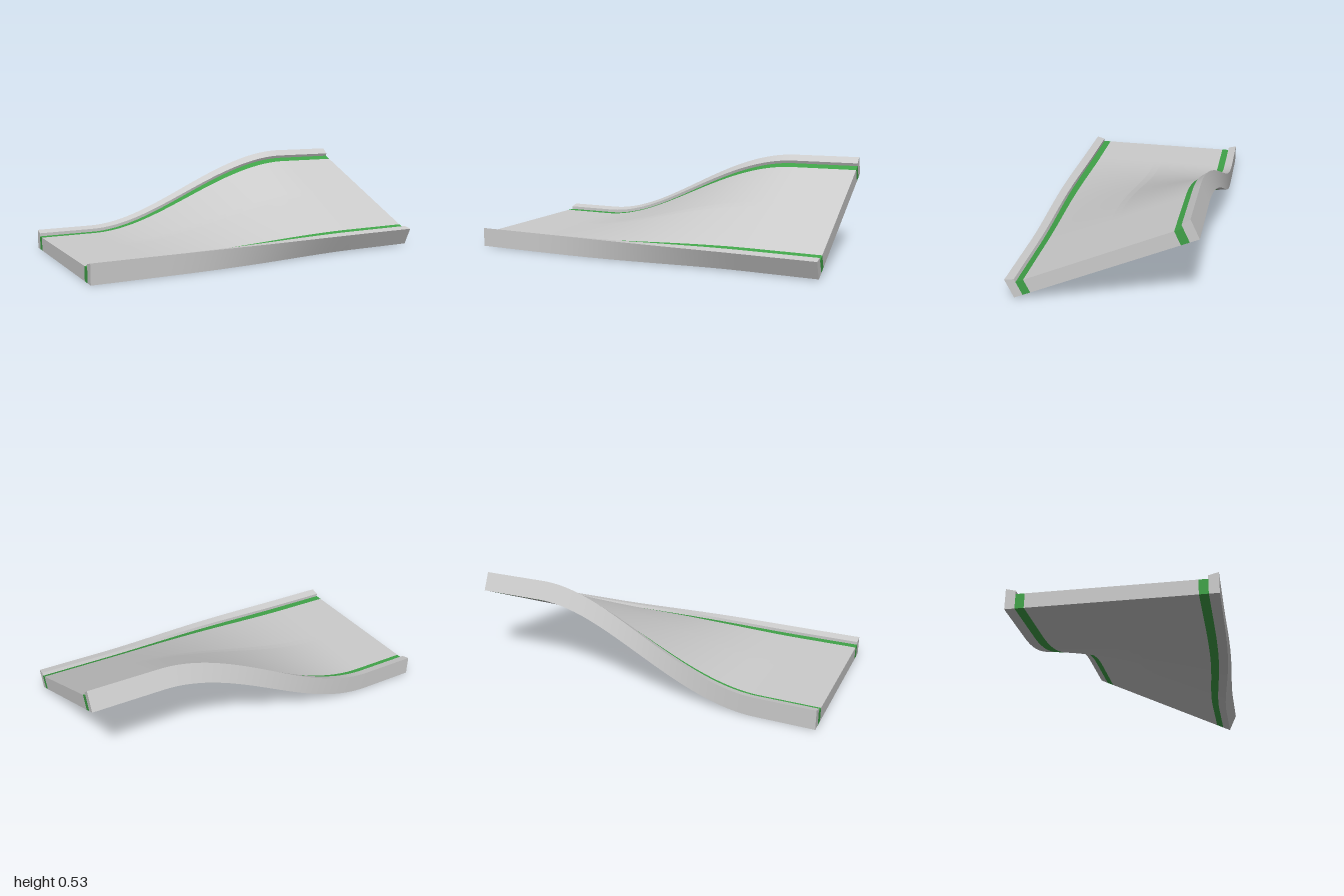
import * as THREE from 'three';

const HALF = 0.505, PIVOT = 0.053, BANK = THREE.MathUtils.degToRad(25);
const THICK = 0.077, SEGMENTS = 72;

// Bank the flat cross-section about its lengthwise axis, low edge staying on the ground
function place(x, z, y) {
  const a = BANK * THREE.MathUtils.smoothstep(x, -0.68, 0.62);
  const s = Math.sin(a), c = Math.cos(a), h = y - PIVOT;
  return [x, PIVOT + HALF * s - z * s + h * c, z * c + h * s];
}

// Sweep a convex [z, y] section (top edge running towards +z first) along x
function sweep(section) {
  const pos = [], index = [], n = section.length;
  section.forEach((p, i) => {
    const q = section[(i + 1) % n], base = pos.length / 3;
    for (let k = 0; k <= SEGMENTS; k++) {
      const x = -1 + (2 * k) / SEGMENTS;
      pos.push(...place(x, ...p), ...place(x, ...q));
      if (k < SEGMENTS) {
        const a = base + 2 * k;
        index.push(a, a + 1, a + 2, a + 1, a + 3, a + 2);
      }
    }
  });
  // End caps
  for (const x of [-1, 1]) {
    const base = pos.length / 3;
    section.forEach((p) => pos.push(...place(x, ...p)));
    for (let i = 1; i < n - 1; i++) {
      if (x > 0) index.push(base, base + i, base + i + 1);
      else index.push(base, base + i + 1, base + i);
    }
  }
  const g = new THREE.BufferGeometry();
  g.setAttribute('position', new THREE.Float32BufferAttribute(pos, 3));
  g.setIndex(index);
  g.computeVertexNormals();
  return g;
}

export function createModel() {
  const group = new THREE.Group();
  const grey = new THREE.MeshStandardMaterial({ color: 0xcccccc });
  const green = new THREE.MeshStandardMaterial({ color: 0x40a248 });
  const white = new THREE.MeshStandardMaterial({ color: 0xffffff });

  // Strip between two z positions, with its own top height at each edge
  function strip(name, z0, z1, material, y0 = THICK, y1 = THICK) {
    const mesh = new THREE.Mesh(sweep([[z0, y0], [z1, y1], [z1, 0], [z0, 0]]), material);
    mesh.name = name;
    group.add(mesh);
  }

  // Road deck with a centre line
  strip('rearDeck', -0.41, -0.022, grey);
  strip('centreLine', -0.022, 0.022, white);
  strip('frontDeck', 0.022, 0.41, grey);

  // Green edge lines
  strip('rearEdgeLine', -0.455, -0.41, green);
  strip('frontEdgeLine', 0.41, 0.455, green);

  // Raised kerbs, tops sloping down towards the road
  strip('rearKerb', -HALF, -0.455, grey, 0.108, 0.095);
  strip('frontKerb', 0.455, HALF, grey, 0.095, 0.108);

  return group;
}
